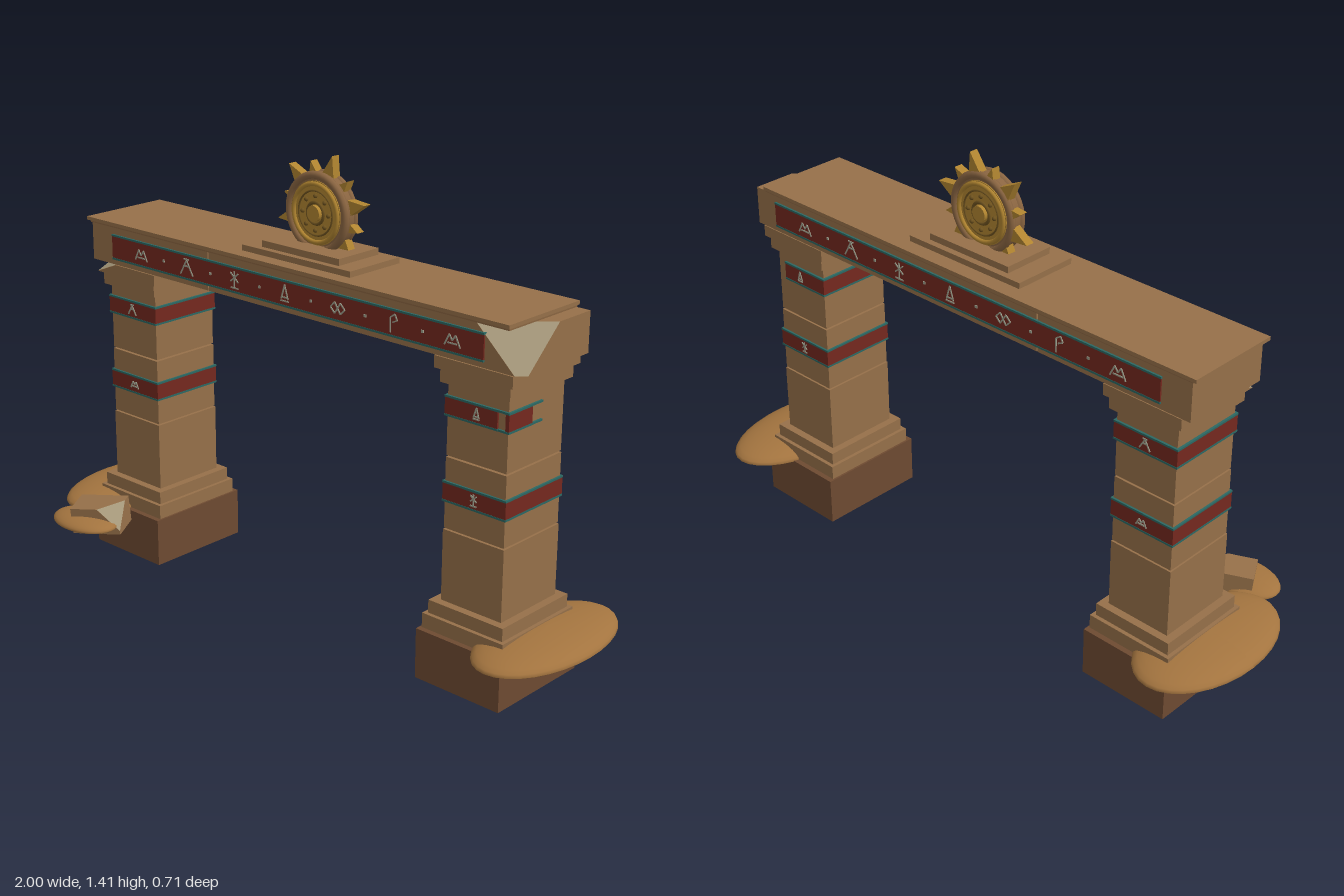
import * as THREE from 'three';
import { ConvexGeometry } from 'three/addons/geometries/ConvexGeometry.js';

const CX = -0.005, CZ = -0.06;
const mat = (color, side = THREE.FrontSide) => new THREE.MeshStandardMaterial({ color, side });
const stone = mat(0x967049), trimStone = mat(0x8a6541), earth = mat(0x6e4a31), sand = mat(0xa3743f);
const red = mat(0x74281e), teal = mat(0x2b6863), gold = mat(0xb08430), darkGold = mat(0x6f531f);
const chalk = mat(0x9a9c8a), broken = mat(0xa89a7c, THREE.DoubleSide);

function add(parent, name, geometry, material, x = 0, y = 0, z = 0) {
  const m = new THREE.Mesh(geometry, material);
  m.name = name;
  m.position.set(x, y, z);
  parent.add(m);
  return m;
}

// Box given by its limits on each axis
function block(parent, name, material, [x0, x1], [y0, y1], [z0, z1]) {
  return add(parent, name, new THREE.BoxGeometry(x1 - x0, y1 - y0, z1 - z0), material,
    (x0 + x1) / 2, (y0 + y1) / 2, (z0 + z1) / 2);
}

// Box centred in plan on x and CZ
function tier(parent, name, material, x, w, d, y0, y1) {
  return block(parent, name, material, [x - w / 2, x + w / 2], [y0, y1], [CZ - d / 2, CZ + d / 2]);
}

// Box with one corner replaced by the points of a break, and a pale break face
function chippedBox(parent, name, lo, hi, isLost, cut, material) {
  const pts = cut.map(p => new THREE.Vector3(...p));
  for (let i = 0; i < 8; i++) {
    const c = [0, 1, 2].map(k => ((i >> k) & 1 ? hi : lo)[k]);
    if (!isLost(...c)) pts.push(new THREE.Vector3(...c));
  }
  add(parent, name, new ConvexGeometry(pts), material);
  // Pale face lifted slightly off the break
  const a = pts[0], n = pts[1].clone().sub(a).cross(pts[2].clone().sub(a)).normalize();
  const mid = new THREE.Vector3(...lo).add(new THREE.Vector3(...hi)).multiplyScalar(0.5);
  if (n.dot(a.clone().sub(mid)) < 0) n.negate();
  const face = new THREE.BufferGeometry().setFromPoints(cut.map(p => new THREE.Vector3(...p).addScaledVector(n, 0.001)));
  face.setIndex(cut.length === 4 ? [0, 1, 2, 0, 2, 3] : [0, 1, 2]);
  face.computeVertexNormals();
  add(parent, name + 'Break', face, broken);
}

// Carved marks, as strokes [x0, y0, x1, y1] in a unit square
const MARKS = [
  [[-1, -.7, -.4, .5], [-.4, .5, 0, -.1], [0, -.1, .4, .5], [.4, .5, 1, -.7], [-.6, -.4, .6, -.4]],
  [[-1, -.9, 0, .8], [0, .8, 1, -.9], [-.5, .1, .5, .1], [-.4, .9, .4, .9]],
  [[0, -1, 0, 1], [-.6, .8, .6, -.2], [-.6, -.2, .6, .8], [-.6, -.9, .6, -.9]],
  [[-.6, -.8, .6, -.8], [-.5, -.6, 0, 1], [.5, -.6, 0, 1], [-.5, -.4, .5, -.4]],
  [[-1, 0, -.4, .6], [-1, 0, -.4, -.6], [-.4, .6, .4, -.6], [-.4, -.6, .4, .6], [.4, .6, 1, 0], [.4, -.6, 1, 0]],
  [[-.4, -1, -.4, .6], [-.4, .6, .2, 1], [.2, 1, .5, .4], [.5, .4, -.1, .1]],
];
function mark(parent, index, size, x, y, z) {
  const g = new THREE.Group();
  g.name = 'carvedMark';
  g.position.set(x, y, z);
  for (const [x0, y0, x1, y1] of MARKS[index % MARKS.length]) {
    const dx = (x1 - x0) * size, dy = (y1 - y0) * size;
    const s = add(g, 'stroke', new THREE.BoxGeometry(Math.hypot(dx, dy), 0.004, 0.003), chalk,
      (x0 + x1) * size / 2, (y0 + y1) * size / 2, 0);
    s.rotation.z = Math.atan2(dy, dx);
  }
  parent.add(g);
}

// Red strip with teal borders
function band(parent, xr, [y0, y1], zr) {
  block(parent, 'paintedBand', red, xr, [y0, y1], zr);
  const grow = ([a, b]) => [a - 0.001, b + 0.001];
  for (const y of [y0, y1]) block(parent, 'bandBorder', teal, grow(xr), [y - 0.003, y + 0.003], grow(zr));
}

function pillar(side) {
  const g = new THREE.Group(), x = CX + side * 0.692;
  g.name = side < 0 ? 'rightPillar' : 'leftPillar';
  tier(g, 'foundation', earth, x, 0.298, 0.36, 0, 0.155);
  tier(g, 'lowerPlinth', stone, x, 0.285, 0.325, 0.155, 0.2);
  tier(g, 'upperPlinth', stone, x, 0.262, 0.3, 0.2, 0.24);
  // Shaft blocks with fine joints
  tier(g, 'shaftBlock', stone, x, 0.212, 0.25, 0.24, 0.457);
  tier(g, 'shaftBlock', stone, x, 0.208, 0.246, 0.461, 0.672);
  tier(g, 'shaftBlock', stone, x, 0.206, 0.244, 0.677, 0.89);
  tier(g, 'lowerCapital', stone, x, 0.236, 0.28, 0.89, 0.93);
  const x0 = x - 0.132, x1 = x + 0.132, z0 = CZ - 0.15, z1 = CZ + 0.15;
  if (side < 0) {
    chippedBox(g, 'upperCapital', [x0, 0.93, z0], [x1, 0.965, z1],
      (a, b, c) => a === x0 && c === z1 && b === 0.965,
      [[x0 + 0.085, 0.965, z1], [x0, 0.965, z1 - 0.08], [x0, 0.931, z1]], stone);
  } else tier(g, 'upperCapital', stone, x, 0.264, 0.3, 0.93, 0.965);

  // Painted bands; the upper one on the left pillar is partly worn away
  const bx = [x - 0.109, x + 0.109], bz = [CZ - 0.128, CZ + 0.128];
  band(g, bx, [0.545, 0.6], bz);
  if (side < 0) band(g, bx, [0.796, 0.85], bz);
  else {
    band(g, [bx[0], 0.757], [0.796, 0.85], [bz[1] - 0.012, bz[1]]);
    band(g, [bx[0], 0.757], [0.796, 0.85], [bz[0], bz[0] + 0.012]);
    band(g, [bx[0], bx[0] + 0.012], [0.796, 0.85], bz);
    band(g, [bx[1] - 0.012, bx[1]], [0.796, 0.85], [-0.035, bz[1]]);
    for (const y of [0.796, 0.85])
      block(g, 'bandBorder', teal, [0.757, bx[1]], [y - 0.003, y + 0.003], [-0.08, bz[1]]);
  }
  for (const [i, y] of [0.573, 0.823].entries())
    for (const z of [bz[0] - 0.001, bz[1] + 0.001]) mark(g, i + (side > 0 ? 2 : 0), 0.018, x, y, z);
  return g;
}

function lintel() {
  const g = new THREE.Group();
  g.name = 'lintel';
  const z0 = -0.207, z1 = 0.085, y0 = 0.965, y1 = 1.085, xe = 0.845;
  block(g, 'lintelBlock', stone, [-0.855, -0.327], [y0, y1], [z0, z1]);
  chippedBox(g, 'lintelBlock', [-0.323, y0, z0], [xe, y1, z1], (x, y, z) => x === xe && z === z1,
    [[0.69, y1, z1], [xe, y1, -0.07], [xe, y0, 0.06], [0.82, y0, z1]], stone);
  block(g, 'corniceFillet', trimStone, [-0.86, 0.8], [1.085, 1.091], [-0.211, 0.088]);
  block(g, 'cornice', stone, [-0.872, 0.803], [1.091, 1.102], [-0.216, 0.093]);

  // Frieze on the front, repeated on the back by a half turn
  for (const turn of [0, Math.PI]) {
    const f = new THREE.Group();
    f.name = turn ? 'backFrieze' : 'frontFrieze';
    f.position.set(0, 0, (z0 + z1) / 2);
    f.rotation.y = turn;
    const d = (z1 - z0) / 2;
    band(f, [-0.757, turn ? 0.757 : 0.72], [0.985, 1.06], [d - 0.01, d + 0.005]);
    for (let i = 0; i < 7; i++) {
      const x = -0.62 + i * 0.206;
      mark(f, i, 0.027, x, 1.022, d + 0.006);
      if (i < 6) add(f, 'dot', new THREE.BoxGeometry(0.008, 0.008, 0.003), chalk, x + 0.103, 1.022, d + 0.006);
    }
    g.add(f);
  }
  return g;
}

function sunDisc() {
  const g = new THREE.Group();
  g.name = 'sunDisc';
  g.position.set(CX, 1.235, -0.067);
  // Stepped wheel, thicker towards the hub
  const wheel = (name, r, h, m) => add(g, name, new THREE.CylinderGeometry(r, r, h, 40), m).rotation.x = Math.PI / 2;
  wheel('discBody', 0.118, 0.044, trimStone);
  wheel('discFace', 0.095, 0.05, gold);
  wheel('discHub', 0.024, 0.074, gold);
  for (const s of [-1, 1]) {
    add(g, 'outerRim', new THREE.TorusGeometry(0.11, 0.012, 8, 40), trimStone, 0, 0, s * 0.018);
    add(g, 'innerRim', new THREE.TorusGeometry(0.086, 0.007, 8, 40), gold, 0, 0, s * 0.026);
    add(g, 'grooveRing', new THREE.TorusGeometry(0.066, 0.003, 6, 40), darkGold, 0, 0, s * 0.026);
    add(g, 'hubRing', new THREE.TorusGeometry(0.032, 0.005, 6, 24), darkGold, 0, 0, s * 0.026);
    for (let i = 0; i < 8; i++) {
      const a = i * Math.PI / 4;
      add(g, 'stud', new THREE.SphereGeometry(0.007, 8, 6), darkGold, 0.051 * Math.cos(a), 0.051 * Math.sin(a), s * 0.026);
    }
  }
  // Alternating long and short rays
  for (let i = 0; i < 12; i++) {
    const tip = i % 2 ? 0.15 : 0.176;
    const w = i % 2 ? 0.02 : 0.028;
    const tri = new THREE.Shape([new THREE.Vector2(0.1, -w), new THREE.Vector2(tip, 0), new THREE.Vector2(0.1, w)]);
    const ray = add(g, 'ray', new THREE.ExtrudeGeometry(tri, { depth: 0.028, bevelEnabled: false }), gold, 0, 0, -0.022);
    ray.rotation.z = THREE.MathUtils.degToRad(15 + i * 30);
  }
  return g;
}

// Low drift: domed above, nearly flat below
function drift(parent, x, z, rx, rz, top) {
  const geo = new THREE.SphereGeometry(1, 32, 16), p = geo.attributes.position;
  for (let i = 0; i < p.count; i++) {
    const y = p.getY(i);
    p.setXYZ(i, p.getX(i) * rx, y * (y > 0 ? top : 0.016), p.getZ(i) * rz);
  }
  geo.computeVertexNormals();
  add(parent, 'sandDrift', geo, sand, x, 0.153, z);
}

export function createModel() {
  const model = new THREE.Group();
  model.name = 'ancientGate';
  model.add(pillar(-1), pillar(1), lintel(), sunDisc());
  tier(model, 'lowerStep', stone, CX, 0.43, 0.212, 1.102, 1.12);
  tier(model, 'upperStep', stone, CX, 0.305, 0.17, 1.12, 1.14);

  drift(model, -0.835, -0.04, 0.165, 0.268, 0.045);
  drift(model, 0.842, -0.08, 0.153, 0.278, 0.045);
  drift(model, -0.727, 0.27, 0.124, 0.086, 0.028);

  // Fallen stone with a broken corner
  const rock = new THREE.Group();
  rock.name = 'fallenStone';
  const [a, b, c] = [0.08, 0.043, 0.055];
  chippedBox(rock, 'rubble', [-a, -b, -c], [a, b, c], (x, y, z) => x > 0 && y > 0 && z > 0,
    [[0.01, b, c], [a, b, -0.02], [a, -0.03, c]], stone);
  rock.position.set(-0.7, 0.168, 0.228);
  rock.rotation.set(0.06, 0.52, 0.04);
  model.add(rock);
  return model;
}
